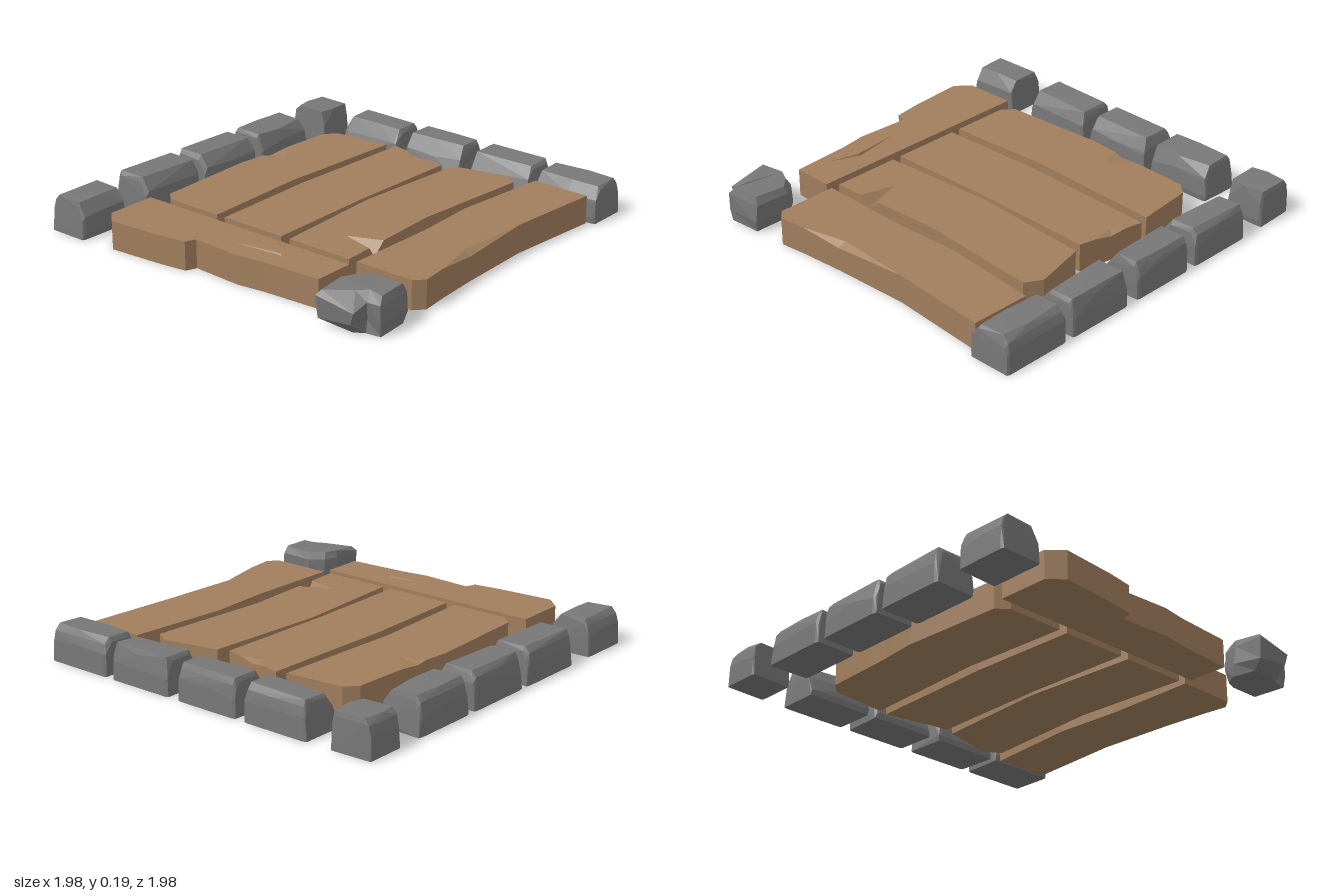
import * as THREE from 'three';
import { ConvexGeometry } from 'three/addons/geometries/ConvexGeometry.js';

const H = 0.145; // plank thickness

// Small seeded random for the chiselled look of the stones
function seeded(seed) {
  let s = seed * 7919 + 17;
  return () => ((s = (s * 16807) % 2147483647) / 2147483647);
}

// Closed solid from stacked rings (clockwise seen from above), with an optional sunken crack on top
function skin(rings, crack) {
  const pos = [];
  const tri = (a, b, c) => {
    if (new THREE.Triangle(a, b, c).getArea() > 1e-6) pos.push(...a, ...b, ...c);
  };
  for (let r = 0; r < rings.length - 1; r++) {
    const lo = rings[r], hi = rings[r + 1];
    lo.forEach((a, i) => {
      const j = (i + 1) % lo.length;
      tri(a, hi[i], hi[j]);
      tri(a, hi[j], lo[j]);
    });
  }
  const cap = (ring, hole, up) => {
    const flat = (ps) => ps.map((p) => new THREE.Vector2(p.x, p.z));
    const all = [...ring, ...hole];
    for (const f of THREE.ShapeUtils.triangulateShape(flat(ring), hole.length ? [flat(hole)] : [])) {
      const [a, b, c] = f.map((i) => all[i]);
      const n = new THREE.Triangle(a, b, c).getNormal(new THREE.Vector3());
      if (n.y * up > 0) tri(a, b, c);
      else tri(a, c, b);
    }
  };
  cap(rings[0], [], -1);
  cap(rings[rings.length - 1], crack ? crack.rim : [], 1);
  if (crack) crack.rim.forEach((p, i) => tri(p, crack.low, crack.rim[(i + 1) % crack.rim.length]));
  const g = new THREE.BufferGeometry();
  g.setAttribute('position', new THREE.Float32BufferAttribute(pos, 3));
  g.computeVertexNormals();
  return g;
}

const V = (x, y, z) => new THREE.Vector3(x, y, z);

// Outline points are [x, z], or [x, z, drop, innerX, innerZ] where the top edge is chipped
function plankGeometry(outline, crack) {
  return skin([
    outline.map(([x, z]) => V(x, 0, z)),
    outline.map(([x, z, drop = 0]) => V(x, H - drop, z)),
    outline.map(([x, z, , ix = x, iz = z]) => V(ix, H, iz)),
  ], crack);
}

// Hewn block: a worn profile repeated along its length; u runs from the outer to the inner side
function stoneGeometry(from, to, shoulder, seed, place) {
  const rnd = seeded(seed);
  const j = (a) => (rnd() - 0.5) * a;
  const pts = [];
  for (const t of [0, 0.07, 0.55, 0.93, 1]) {
    const end = t === 0 || t === 1;
    const top = end ? 0.165 : 0.187;
    const s = shoulder + j(0.1) + (t === 0.55 ? 0.04 : 0);
    const profile = [
      [0.01, 0], [0.02, 0.1 + j(0.04)], [0.05 + rnd() * 0.05, top - 0.03],
      [0.16 + j(0.1), top], [s, top - rnd() * 0.008],
      [Math.min(0.98, s + 0.2), 0.11 + j(0.03)], [1, 0.03], [0.98, 0],
    ];
    for (const [u, y] of profile) {
      const along = from + (to - from) * t + (end ? (t ? -1 : 1) * (rnd() * 0.012 + y * 0.06) : 0);
      pts.push(place(along, y, end ? 0.5 + (u - 0.5) * 0.95 : u));
    }
  }
  return new ConvexGeometry(pts);
}

export function createModel() {
  const wood = new THREE.MeshStandardMaterial({ color: 0xa07e5d });
  wood.name = 'wood brown';
  const rock = new THREE.MeshStandardMaterial({ color: 0x777777 });
  rock.name = 'stone grey';
  const model = new THREE.Group();
  model.name = 'stoneEdgedFloor';
  const add = (name, geometry, material) => {
    const m = new THREE.Mesh(geometry, material);
    m.name = name;
    model.add(m);
  };

  // Four long floor planks
  const planks = [
    [[-0.57, -0.66], [-0.265, -0.69], [-0.285, -0.2], [-0.295, 0], [-0.265, 0.59], [-0.57, 0.59],
      [-0.63, 0.54], [-0.66, 0], [-0.648, -0.15], [-0.642, -0.2, 0.012, -0.53, -0.19], [-0.637, -0.32], [-0.625, -0.6]],
    [[-0.215, -0.705], [-0.12, -0.686], [-0.04, -0.67, 0.015, -0.07, -0.635], [0.06, -0.651], [0.14, -0.635],
      [0.13, 0], [0.145, 0.59], [-0.215, 0.59], [-0.235, 0], [-0.225, -0.3]],
    [[0.195, -0.66], [0.475, -0.725], [0.56, -0.675], [0.515, -0.03], [0.537, 0.32],
      [0.541, 0.39, 0.06, 0.37, 0.39], [0.545, 0.435], [0.555, 0.59], [0.195, 0.59], [0.155, -0.02], [0.165, -0.2]],
    [[0.63, -0.76], [0.94, -0.755], [0.905, -0.24], [0.924, 0.17, 0.022, 0.885, 0.16], [0.943, 0.4],
      [0.96, 0.54], [0.915, 0.59], [0.6, 0.59], [0.605, 0.1], [0.585, -0.24]],
  ];
  planks.forEach((o, i) => add(`floorPlank${i + 1}`, plankGeometry(o), wood));

  // Cross plank along the front, with a split in its top
  const crack = {
    rim: [[0.04, 0.78], [0.28, 0.737], [0.44, 0.802], [0.28, 0.76]].map(([x, z]) => V(x, H, z)),
    low: V(0.28, H - 0.025, 0.751),
  };
  add('frontPlank', plankGeometry([[-0.67, 0.635], [0.595, 0.635], [0.595, 0.845], [0.28, 0.865], [0.14, 0.885],
    [-0.13, 0.87], [-0.15, 0.925], [-0.29, 0.945], [-0.59, 0.968], [-0.665, 0.9]], crack), wood);

  // Stones along the back edge
  const back = (a, y, u) => V(a, y, -0.995 + u * 0.23);
  [[-0.645, -0.265], [-0.23, 0.145], [0.195, 0.575], [0.6, 0.99]].forEach(([a, b], i) =>
    add(`backStone${i + 1}`, stoneGeometry(a, b, i === 3 ? 0.76 : 0.68, i + 1, back), rock));

  // Stones along the left-hand edge of the plan, including both corners
  const side = (a, y, u) => V(-0.995 + u * 0.225, y, a);
  [[-0.99, -0.77], [-0.645, -0.27], [-0.24, 0.15], [0.18, 0.57], [0.697, 0.99]].forEach(([a, b], i) =>
    add(`sideStone${i + 1}`, stoneGeometry(a, b, i ? 0.8 : 0.88, i + 11, side), rock));

  // Broken corner stone with a notched, overhanging front
  const ring = (y, pts) => pts.map(([x, z, dy = 0]) => V(x, y + dy, z));
  add('cornerStone', skin([
    ring(0, [[0.71, 0.8], [0.75, 0.74], [0.81, 0.72], [0.97, 0.72], [0.985, 0.89], [0.91, 0.9], [0.86, 0.93], [0.73, 0.92]]),
    ring(0.06, [[0.7, 0.82], [0.725, 0.74], [0.8, 0.7], [0.985, 0.705], [0.99, 0.9], [0.91, 0.89], [0.89, 0.98], [0.705, 0.98, -0.02]]),
    ring(0.15, [[0.705, 0.83], [0.725, 0.75], [0.79, 0.695], [0.975, 0.7], [0.99, 0.9], [0.92, 0.905], [0.91, 0.985, -0.03], [0.7, 0.99]]),
    ring(0.185, [[0.71, 0.83], [0.74, 0.77], [0.8, 0.71], [0.965, 0.72, 0.005], [0.975, 0.87], [0.9, 0.86, 0.005], [0.85, 0.9], [0.72, 0.97, -0.01]]),
  ]), rock);

  return model;
}
